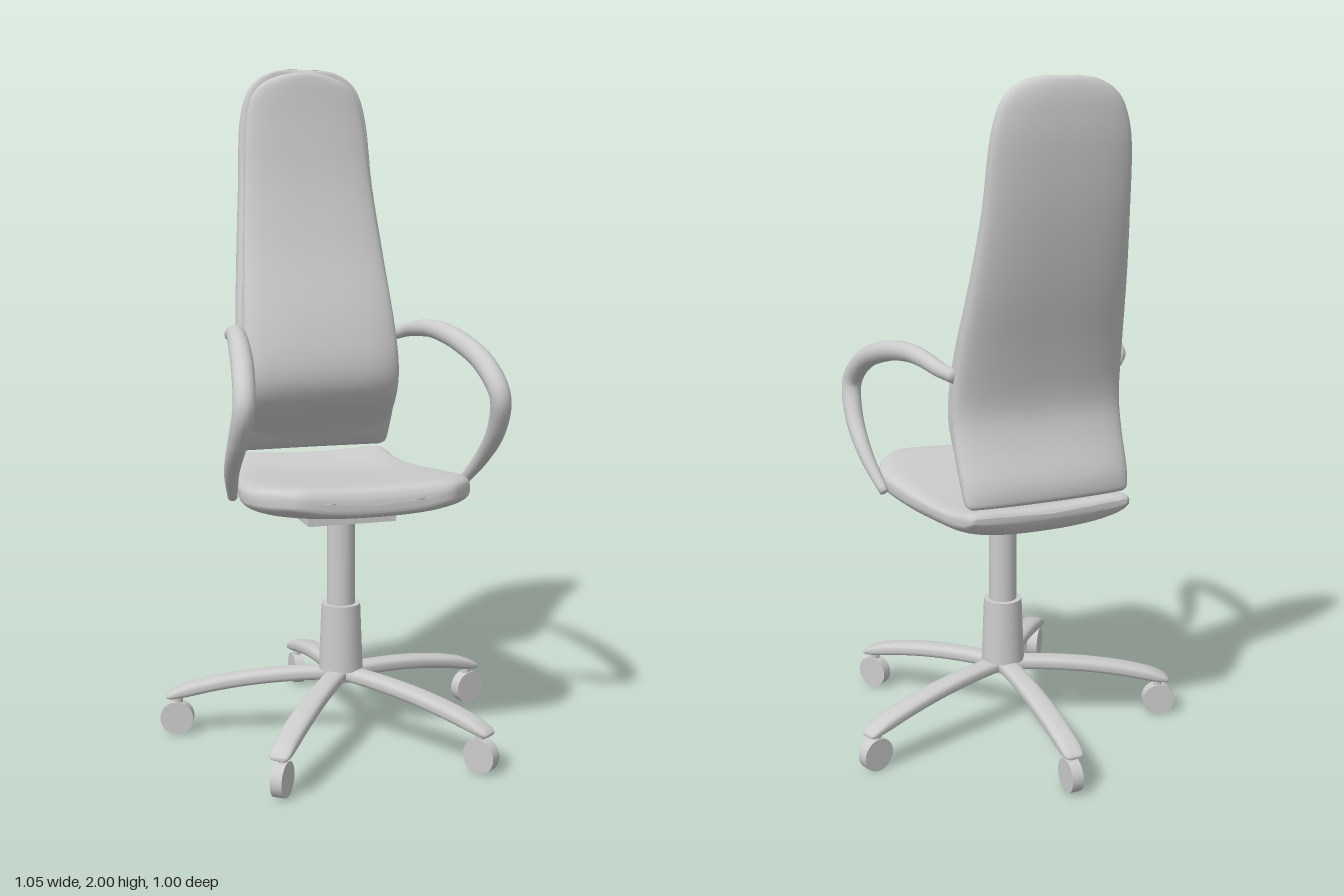
import * as THREE from 'three';

const material = new THREE.MeshStandardMaterial({ color: 0xcccccc });

// Skin a list of closed rings and cap both ends; faces are turned outward.
function loft(rings) {
  const n = rings[0].length, pos = [], idx = [];
  rings.forEach(r => r.forEach(p => pos.push(p.x, p.y, p.z)));
  for (let i = 0; i < rings.length - 1; i++) {
    for (let j = 0; j < n; j++) {
      const a = i * n + j, b = i * n + (j + 1) % n;
      idx.push(a, b, a + n, b, b + n, a + n);
    }
  }
  [0, rings.length - 1].forEach((r, end) => {
    const c = rings[r].reduce((s, p) => s.add(p), new THREE.Vector3()).divideScalar(n);
    const ci = pos.length / 3;
    pos.push(c.x, c.y, c.z);
    for (let j = 0; j < n; j++) {
      const a = r * n + j, b = r * n + (j + 1) % n;
      if (end) idx.push(ci, a, b); else idx.push(ci, b, a);
    }
  });
  const v = i => new THREE.Vector3().fromArray(pos, i * 3);
  let volume = 0;
  for (let i = 0; i < idx.length; i += 3) volume += v(idx[i]).dot(v(idx[i + 1]).cross(v(idx[i + 2])));
  if (volume < 0) idx.reverse();
  const g = new THREE.BufferGeometry();
  g.setAttribute('position', new THREE.Float32BufferAttribute(pos, 3));
  g.setIndex(idx);
  g.computeVertexNormals();
  return g;
}

// Smoothly resample rows of section dimensions.
function resample(rows, steps) {
  const spline = new THREE.CubicInterpolant(rows.map((_, i) => i), rows.flat(), rows[0].length);
  const out = [];
  for (let i = 0; i <= (rows.length - 1) * steps; i++) out.push(Array.from(spline.evaluate(i / steps)));
  return out;
}

// Unit superellipse outline.
const pow = (v, n) => Math.sign(v) * Math.abs(v) ** (2 / n);
function outline(count, n) {
  return Array.from({ length: count }, (_, i) => {
    const a = (i + 0.5) / count * Math.PI * 2;
    return [pow(Math.cos(a), n), pow(Math.sin(a), n)];
  });
}

function add(parent, name, geometry, x = 0, y = 0, z = 0) {
  const m = new THREE.Mesh(geometry, material);
  m.name = name;
  m.position.set(x, y, z);
  parent.add(m);
  return m;
}

// Backrest layer from rows of [height, half width, back z, front z].
function backLayer(rows, n, bow) {
  return loft(resample(rows, 4).map(([y, w, zb, zf]) => outline(48, n).map(([u, v]) =>
    new THREE.Vector3(u * w, y, (zb + zf) / 2 + v * (zf - zb) / 2 + bow * u * u))));
}

// Seat from rows of [z, half width, top, edge height, bottom].
function seatGeometry() {
  const rows = [
    [0.39, 0.17, 0.80, 0.785, 0.77], [0.385, 0.215, 0.825, 0.79, 0.755],
    [0.365, 0.25, 0.845, 0.79, 0.745], [0.30, 0.305, 0.845, 0.785, 0.73],
    [0.20, 0.333, 0.835, 0.78, 0.715], [0.05, 0.315, 0.82, 0.775, 0.70],
    [-0.10, 0.285, 0.808, 0.775, 0.70], [-0.20, 0.265, 0.815, 0.775, 0.712],
    [-0.27, 0.255, 0.832, 0.785, 0.735], [-0.30, 0.25, 0.83, 0.795, 0.76],
    [-0.312, 0.235, 0.815, 0.80, 0.785],
  ];
  return loft(resample(rows, 4).map(([z, w, top, mid, bot]) => {
    const pts = [];
    for (let i = 0; i < 56; i++) {
      const a = (i + 0.5) / 56 * Math.PI * 2, s = Math.sin(a);
      const u = pow(Math.cos(a), s > 0 ? 4 : 2.3);
      const y = s > 0
        ? mid + (top - mid) * pow(s, 4) - 0.02 * (1 - u * u) * pow(s, 4)
        : mid + (mid - bot) * pow(s, 2.3);
      pts.push(new THREE.Vector3(u * w, y, z));
    }
    return pts;
  }));
}

// Looping armrest, a tapered tube; side is +1 (left) or -1 (right).
function armGeometry(side) {
  const path = new THREE.CatmullRomCurve3([
    [0.245, 1.19, -0.205], [0.275, 1.205, -0.165], [0.29, 1.218, -0.08], [0.305, 1.222, 0.01],
    [0.328, 1.2, 0.15], [0.352, 1.145, 0.29], [0.368, 1.065, 0.362], [0.376, 0.97, 0.325],
    [0.372, 0.87, 0.23], [0.348, 0.775, 0.13],
  ].map(([x, y, z]) => new THREE.Vector3(x * side, y, z)));
  const steps = 64, frames = path.computeFrenetFrames(steps);
  const rings = [];
  for (let i = 0; i <= steps; i++) {
    const t = i / steps, c = path.getPointAt(t);
    const r = 0.02 + 0.012 * Math.sin(Math.PI * Math.min(1, t * 0.95)) - 0.008 * t ** 4;
    rings.push(outline(16, 2).map(([u, v]) => c.clone()
      .addScaledVector(frames.normals[i], u * r)
      .addScaledVector(frames.binormals[i], v * r)));
  }
  return loft(rings);
}

// Arched leg along +z from rows of [distance, half width, top, bottom].
function legGeometry() {
  const rows = [
    [0.0, 0.03, 0.22, 0.18], [0.12, 0.031, 0.217, 0.175], [0.25, 0.033, 0.205, 0.163],
    [0.37, 0.034, 0.185, 0.143], [0.46, 0.033, 0.162, 0.122], [0.505, 0.031, 0.142, 0.115],
    [0.522, 0.025, 0.13, 0.116], [0.526, 0.015, 0.125, 0.118],
  ];
  return loft(resample(rows, 4).map(([z, w, top, bot]) => outline(24, 2.8).map(([u, v]) =>
    new THREE.Vector3(u * w, (top + bot) / 2 + v * (top - bot) / 2, z))));
}

export function createModel() {
  const chair = new THREE.Group();
  chair.name = 'officeChair';
  const axisZ = 0.045;

  add(chair, 'seat', seatGeometry());

  add(chair, 'backShell', backLayer([
    [0.83, 0.235, -0.305, -0.29], [0.845, 0.25, -0.316, -0.262], [0.9, 0.255, -0.31, -0.225],
    [1.0, 0.258, -0.268, -0.185], [1.1, 0.257, -0.25, -0.17], [1.25, 0.25, -0.28, -0.185],
    [1.45, 0.232, -0.335, -0.24], [1.65, 0.214, -0.375, -0.295], [1.82, 0.204, -0.392, -0.325],
    [1.91, 0.185, -0.392, -0.335], [1.96, 0.155, -0.387, -0.34], [1.99, 0.105, -0.378, -0.345],
    [2.0, 0.05, -0.367, -0.355],
  ], 3.2, 0.01));

  add(chair, 'backCushion', backLayer([
    [0.835, 0.225, -0.287, -0.272], [0.85, 0.24, -0.295, -0.255], [0.9, 0.245, -0.275, -0.215],
    [1.0, 0.248, -0.225, -0.122], [1.1, 0.247, -0.205, -0.095], [1.25, 0.238, -0.22, -0.13],
    [1.45, 0.22, -0.27, -0.205], [1.65, 0.202, -0.32, -0.262], [1.82, 0.19, -0.35, -0.293],
    [1.91, 0.17, -0.355, -0.305], [1.955, 0.135, -0.355, -0.31], [1.98, 0.08, -0.347, -0.315],
    [1.99, 0.03, -0.34, -0.322],
  ], 3, -0.006));

  add(chair, 'leftArmrest', armGeometry(1));
  add(chair, 'rightArmrest', armGeometry(-1));

  // Column under the seat
  add(chair, 'seatPlate', new THREE.BoxGeometry(0.265, 0.035, 0.23), 0, 0.697, axisZ);
  add(chair, 'gasLift', new THREE.CylinderGeometry(0.042, 0.042, 0.32, 32), 0, 0.54, axisZ);
  add(chair, 'columnSleeve', new THREE.CylinderGeometry(0.058, 0.066, 0.2, 32), 0, 0.315, axisZ);
  add(chair, 'hub', new THREE.CylinderGeometry(0.05, 0.04, 0.045, 32), 0, 0.198, axisZ);

  // Five-legged base, one leg pointing straight back
  const leg = legGeometry();
  const wheel = new THREE.CylinderGeometry(0.05, 0.05, 0.034, 24).rotateZ(Math.PI / 2);
  const stem = new THREE.CylinderGeometry(0.014, 0.014, 0.05, 12);
  for (let i = 0; i < 5; i++) {
    const arm = new THREE.Group();
    arm.name = 'baseLeg' + (i + 1);
    arm.position.z = axisZ;
    arm.rotation.y = Math.PI + i * Math.PI * 2 / 5;
    add(arm, 'leg', leg);
    add(arm, 'casterStem', stem, 0, 0.11, 0.492);
    add(arm, 'casterWheel', wheel, 0, 0.055, 0.495);
    chair.add(arm);
  }
  chair.position.y = -0.004;
  const model = new THREE.Group();
  model.name = 'chairModel';
  model.add(chair);
  return model;
}
